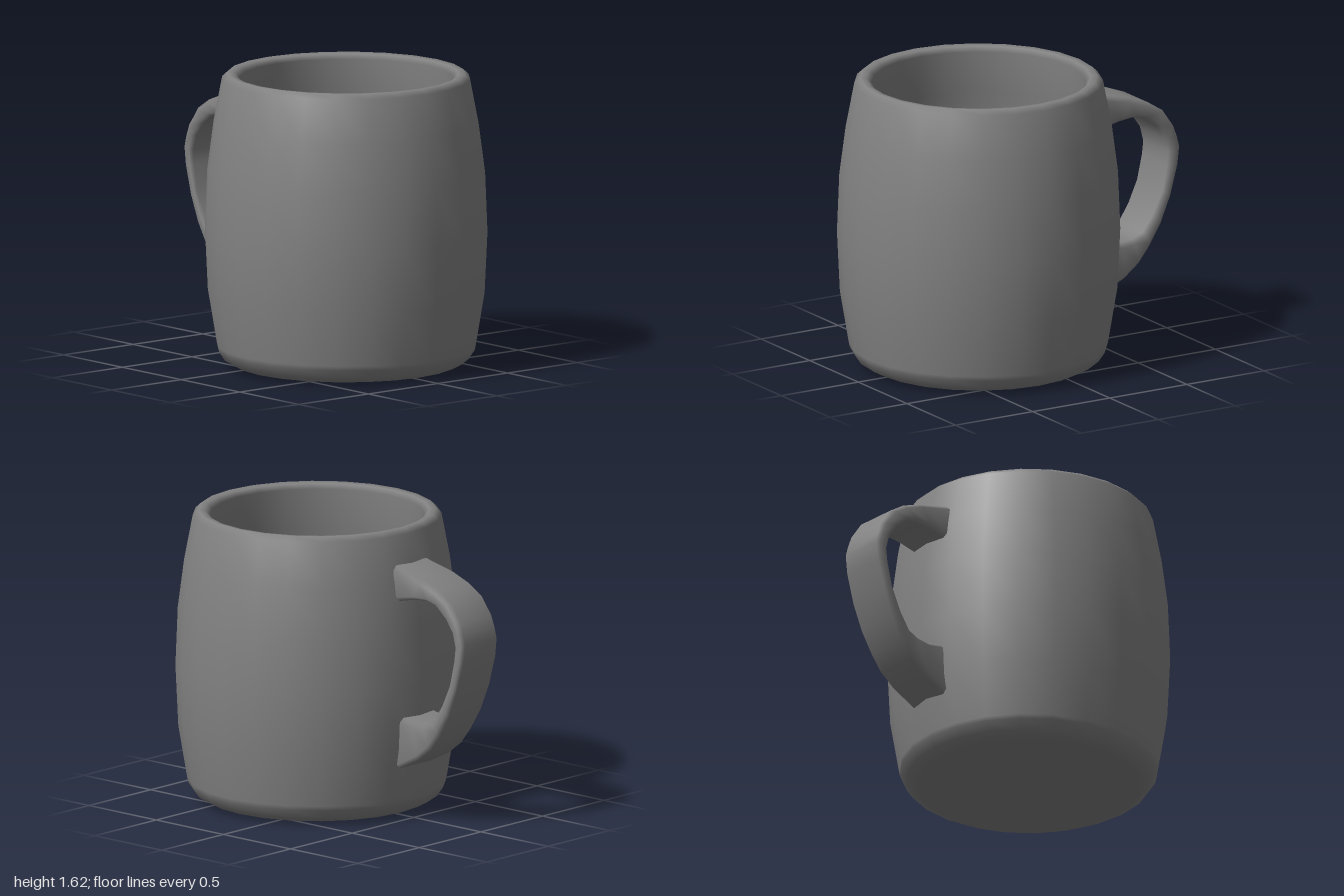
import * as THREE from 'three';

const material = new THREE.MeshStandardMaterial();
material.color.set(0x828282);

// Barrel-shaped cup: outer wall, rounded rim, inner wall and floor in one profile
function createCup() {
  const profile = [
    [0, 0], [0.4, 0.006], [0.62, 0.01], [0.675, 0.04], [0.708, 0.09], [0.713, 0.115],
    [0.762, 0.41], [0.778, 0.75], [0.765, 1.08], [0.73, 1.35],
    [0.683, 1.597], [0.652, 1.625], [0.615, 1.62], [0.587, 1.595],
    [0.625, 1.35], [0.655, 1.08], [0.665, 0.75], [0.65, 0.41],
    [0.6, 0.17], [0.54, 0.118], [0.5, 0.11], [0, 0.11],
  ].map(([r, y]) => new THREE.Vector2(r, y));
  const cup = new THREE.Mesh(new THREE.LatheGeometry(profile, 24), material);
  cup.name = 'cup';
  cup.position.x = 0.22;
  return cup;
}

// Handle: bevelled rectangular sections between an outer and an inner curve
function createHandle() {
  const halfWidth = 0.146;
  const stations = [ // outer x, y, inner x, y
    [-0.48, 1.44, -0.49, 1.24], [-0.68, 1.395, -0.61, 1.268], [-0.8, 1.35, -0.7, 1.278],
    [-0.895, 1.29, -0.77, 1.268], [-0.965, 1.19, -0.85, 1.21], [-0.985, 1.13, -0.905, 1.135],
    [-1, 1.07, -0.928, 1.05], [-0.988, 0.97, -0.92, 0.97], [-0.94, 0.8, -0.89, 0.83],
    [-0.88, 0.65, -0.83, 0.705], [-0.81, 0.53, -0.765, 0.612], [-0.74, 0.44, -0.7, 0.583],
    [-0.65, 0.37, -0.62, 0.573], [-0.5, 0.295, -0.53, 0.59],
  ];
  const positions = [];
  const index = [];
  for (const [ox, oy, ix, iy] of stations) {
    const thickness = Math.hypot(ox - ix, oy - iy);
    const bevel = Math.min(0.025, thickness * 0.25);
    const t = bevel / thickness;
    const w = halfWidth;
    const section = [ // fraction from outer to inner curve, z
      [0, -w + bevel], [0, w - bevel], [t, w], [1 - t, w],
      [1, w - bevel], [1, -w + bevel], [1 - t, -w], [t, -w],
    ];
    for (const [f, z] of section) {
      positions.push(ox + (ix - ox) * f, oy + (iy - oy) * f, z);
    }
  }
  const n = 8;
  const last = (stations.length - 1) * n;
  for (let j = 0; j < last; j += n) {
    for (let k = 0; k < n; k++) {
      const a = j + k;
      const b = j + (k + 1) % n;
      index.push(a, a + n, b, b, a + n, b + n);
    }
  }
  // End caps with their own vertices, so their edges stay sharp
  for (const [start, flip] of [[0, false], [last, true]]) {
    const base = positions.length / 3;
    positions.push(...positions.slice(start * 3, (start + n) * 3));
    for (let k = 1; k < n - 1; k++) {
      if (flip) index.push(base, base + k + 1, base + k);
      else index.push(base, base + k, base + k + 1);
    }
  }
  const geometry = new THREE.BufferGeometry();
  geometry.setAttribute('position', new THREE.Float32BufferAttribute(positions, 3));
  geometry.setIndex(index);
  geometry.computeVertexNormals();
  const handle = new THREE.Mesh(geometry, material);
  handle.name = 'handle';
  return handle;
}

export function createModel() {
  const mug = new THREE.Group();
  mug.name = 'mug';
  mug.add(createCup(), createHandle());
  return mug;
}
